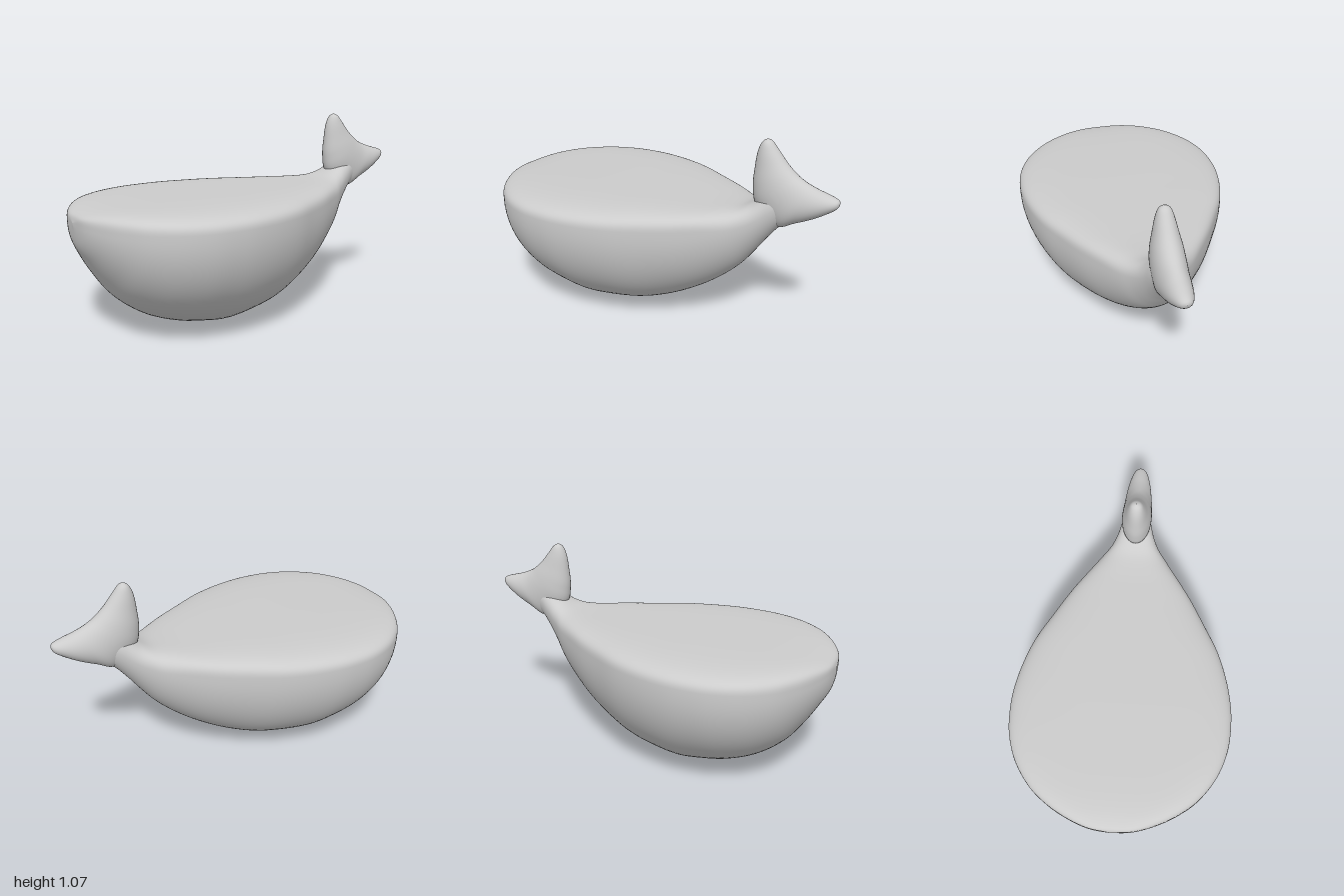
import * as THREE from 'three';

const material = new THREE.MeshStandardMaterial({ color: 0xcccccc, roughness: 0.7 });

// Skin a closed surface over rings; point(u, angle) gives each vertex
function loft(name, steps, sides, point) {
  const pos = [], index = [];
  for (let i = 0; i <= steps; i++) {
    for (let j = 0; j < sides; j++) pos.push(...point(i / steps, (j / sides) * Math.PI * 2));
  }
  for (let i = 0; i < steps; i++) {
    for (let j = 0; j < sides; j++) {
      const k = (j + 1) % sides;
      const a = i * sides + j, b = i * sides + k, c = a + sides, d = b + sides;
      index.push(a, c, b, b, c, d);
    }
  }
  const geo = new THREE.BufferGeometry();
  geo.setAttribute('position', new THREE.Float32BufferAttribute(pos, 3));
  geo.setIndex(index);
  geo.computeVertexNormals();
  const mesh = new THREE.Mesh(geo, material);
  mesh.name = name;
  return mesh;
}

const spline = (points) => new THREE.CatmullRomCurve3(points, false, 'catmullrom', 0.5);
const power = (v, p) => Math.sign(v) * Math.pow(Math.abs(v), p);

// Body sections: x, half width, bottom y, widest y, top y
const bodyRows = [
  [-1, 0, 0.595, 0.6, 0.605],
  [-0.985, 0.12, 0.49, 0.59, 0.64],
  [-0.94, 0.24, 0.40, 0.58, 0.66],
  [-0.88, 0.345, 0.30, 0.575, 0.672],
  [-0.8, 0.44, 0.195, 0.57, 0.68],
  [-0.68, 0.525, 0.105, 0.57, 0.686],
  [-0.54, 0.575, 0.048, 0.57, 0.69],
  [-0.4, 0.588, 0.018, 0.57, 0.693],
  [-0.28, 0.58, 0.003, 0.57, 0.695],
  [-0.14, 0.55, 0.018, 0.57, 0.696],
  [0, 0.5, 0.045, 0.57, 0.697],
  [0.14, 0.425, 0.098, 0.57, 0.697],
  [0.28, 0.345, 0.177, 0.575, 0.697],
  [0.4, 0.265, 0.265, 0.59, 0.70],
  [0.5, 0.195, 0.36, 0.61, 0.712],
  [0.57, 0.14, 0.45, 0.64, 0.745],
  [0.63, 0.105, 0.535, 0.68, 0.79],
  [0.69, 0.082, 0.612, 0.73, 0.83],
  [0.75, 0.06, 0.67, 0.76, 0.84],
  [0.8, 0, 0.77, 0.775, 0.78],
];

// Tail fin sections: inner edge x, y, outer edge x, y, half thickness
const finRows = [
  [0.61, 1.07, 0.612, 1.07, 0],
  [0.584, 1.05, 0.638, 1.055, 0.028],
  [0.564, 1.0, 0.672, 1.015, 0.045],
  [0.554, 0.92, 0.715, 0.965, 0.06],
  [0.55, 0.82, 0.755, 0.928, 0.075],
  [0.575, 0.72, 0.79, 0.903, 0.082],
  [0.69, 0.63, 0.83, 0.884, 0.08],
  [0.79, 0.67, 0.88, 0.866, 0.072],
  [0.88, 0.715, 0.93, 0.853, 0.06],
  [0.955, 0.763, 0.97, 0.842, 0.042],
  [0.988, 0.79, 0.992, 0.832, 0.024],
  [1.0, 0.815, 1.0, 0.817, 0],
];

export function createModel() {
  const group = new THREE.Group();
  group.name = 'whaleBowl';

  // Teardrop body: rounded hull below, flat deck with a soft rim above
  const hull = spline(bodyRows.map(([x, w, b]) => new THREE.Vector3(x, b, w)));
  const deck = spline(bodyRows.map(([x, , , m, t]) => new THREE.Vector3(x, m, t)));
  group.add(loft('body', 114, 96, (u, a) => {
    const { x, y: bottom, z: width } = hull.getPoint(u);
    const { y: mid, z: top } = deck.getPoint(u);
    // The deck becomes round in section toward the tail
    const n = 4.2 - 2.2 * THREE.MathUtils.smoothstep(x, 0.3, 0.62);
    const s = Math.sin(a), c = Math.cos(a);
    if (s > 0) return [x, mid + (top - mid) * power(s, 2 / n), width * power(c, 2 / n)];
    return [x, mid + (mid - bottom) * s, width * c];
  }));

  // Two-lobed tail fin, lofted from lobe tip to lobe tip
  const inner = spline(finRows.map(([x, y, , , t]) => new THREE.Vector3(x, y, t)));
  const outer = spline(finRows.map(([, , x, y, t]) => new THREE.Vector3(x, y, t)));
  group.add(loft('tailFin', 66, 40, (u, a) => {
    const p = inner.getPoint(u), q = outer.getPoint(u);
    const k = 0.5 + 0.5 * Math.sin(a);
    return [p.x + (q.x - p.x) * k, p.y + (q.y - p.y) * k, p.z * Math.cos(a)];
  }));

  return group;
}
